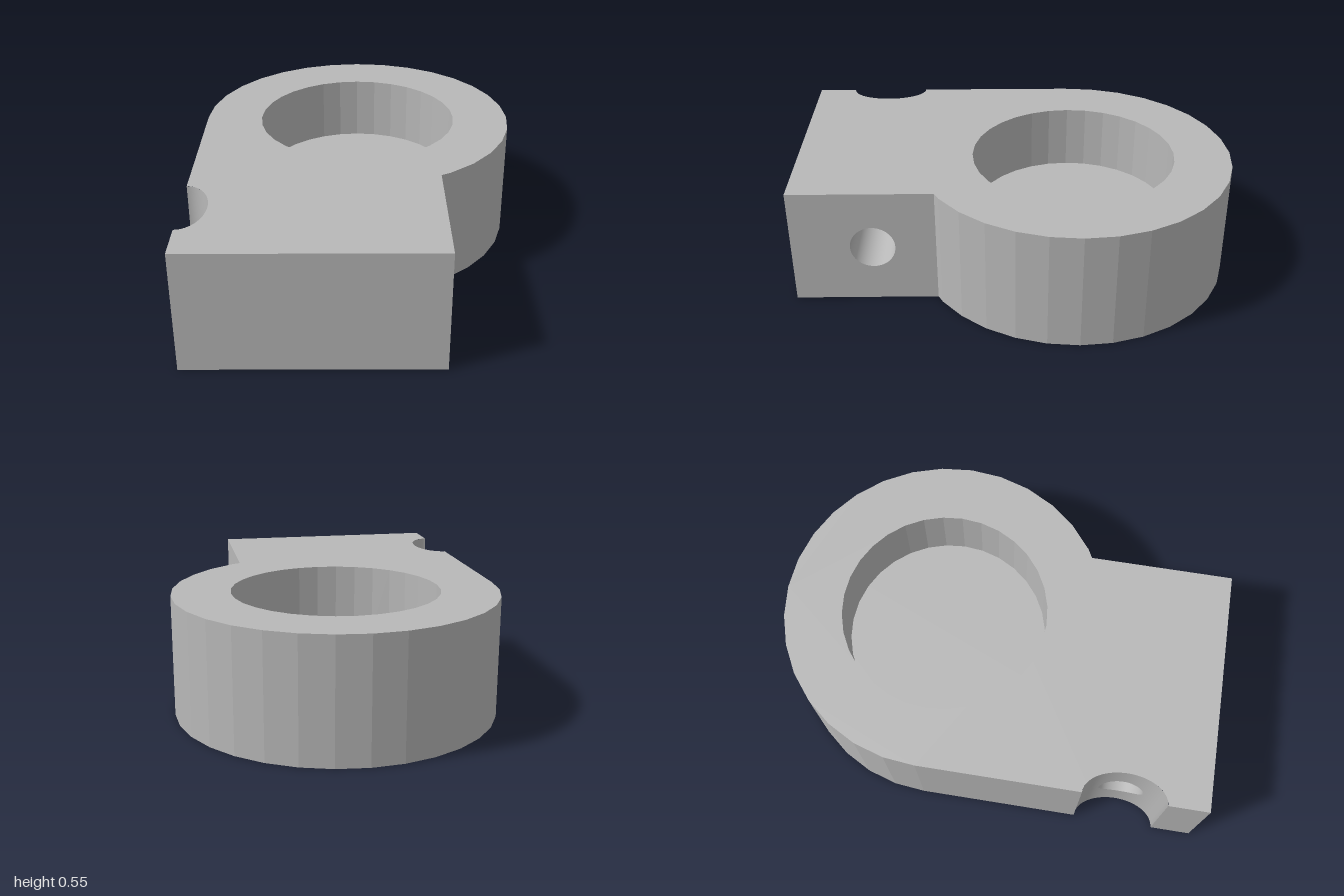
import * as THREE from 'three';
import { ParametricGeometry } from 'three/addons/geometries/ParametricGeometry.js';

const H = 0.545;              // thickness
const R = 0.727, CZ = -0.273; // round head
const BORE = 0.466, FLOOR = 0.243;
const ARM = 0.363;            // +x face of the arm
const NZ = 0.636, NA = 0.112, NB = 0.184; // side notch: centre, depth, half width
const HOLE = 0.101, HY = H / 2;
const STEP = Math.PI / 16;

const onCircle = (r, a) => [r * Math.sin(a), CZ - r * Math.cos(a)];
const notchX = (t) => -R + NA * Math.cos(t);
const toShape = (pts, s) => new THREE.Shape(pts.map(([x, z]) => new THREE.Vector2(x, s * z)));

// Horizontal faces from plan points [x, z]
function topFace(pts, y, hole) {
  const shape = toShape(pts, -1);
  if (hole) shape.holes.push(toShape(hole, -1));
  return new THREE.ShapeGeometry(shape).rotateX(-Math.PI / 2).translate(0, y, 0);
}
const bottomFace = (pts) => new THREE.ShapeGeometry(toShape(pts, 1)).rotateX(Math.PI / 2);

// Flat vertical facets along a plan path, facing left of travel
function wall(pts, y0, y1) {
  const pos = [];
  for (let i = 0; i + 1 < pts.length; i++) {
    const [a, b] = pts[i], [c, d] = pts[i + 1];
    pos.push(a, y0, b, a, y1, b, c, y0, d, c, y0, d, a, y1, b, c, y1, d);
  }
  const g = new THREE.BufferGeometry();
  g.setAttribute('position', new THREE.Float32BufferAttribute(pos, 3));
  g.computeVertexNormals();
  return g;
}

export function createModel() {
  const group = new THREE.Group();
  const metal = new THREE.MeshStandardMaterial({ color: 0xb8b8b8 });
  metal.name = 'grey metal';
  const add = (name, geometry) => {
    const mesh = new THREE.Mesh(geometry, metal);
    mesh.name = name;
    group.add(mesh);
  };

  // Plan outline: head arc, arm, notch
  const head = [[-R, NZ - NB]];
  for (let i = -8; i <= 13; i++) head.push(onCircle(R, i * STEP));
  head.push([ARM, 0.353]);
  const armEnd = [[ARM, 1], [-R, 1], [-R, NZ + NB]];
  const notch = [];
  for (let i = 1; i < 32; i++) {
    const t = Math.PI * (0.5 - i / 32);
    notch.push([notchX(t), NZ + NB * Math.sin(t)]);
  }
  const outline = [...head, ...armEnd, ...notch];
  const bore = [];
  for (let i = 0; i < 32; i++) bore.push(onCircle(BORE, -i * STEP));

  add('topFace', topFace(outline, H, bore));
  add('bottomFace', bottomFace(outline));
  add('headWall', wall(head, 0, H));
  add('armEndWall', wall(armEnd, 0, H));
  add('pocketWall', wall([...bore, bore[0]], FLOOR, H));
  add('pocketFloor', topFace(bore, FLOOR));

  // Arm cheek pierced by the cross hole
  const cheek = toShape([[-1, 0], [-0.353, 0], [-0.353, H], [-1, H]], 1);
  const circle = new THREE.Path();
  circle.absarc(-NZ, HY, HOLE, 0, Math.PI * 2);
  cheek.holes.push(circle);
  add('armCheek', new THREE.ShapeGeometry(cheek, 48).rotateY(Math.PI / 2).translate(ARM, 0, 0));

  // Curved notch wall, blended from its rectangular border to the hole
  add('notchWall', new ParametricGeometry((u, v, p) => {
    const c = Math.cos(u * Math.PI * 2), s = Math.sin(u * Math.PI * 2);
    const m = Math.max(Math.abs(c), Math.abs(s));
    const t = THREE.MathUtils.lerp(Math.PI / 2 * c / m, Math.asin(HOLE * c / NB), v);
    const y = THREE.MathUtils.lerp(HY + HY * s / m, HY + HOLE * s, v);
    p.set(notchX(t), y, NZ + NB * Math.sin(t));
  }, 96, 10));

  // Cross hole from notch to cheek
  add('crossHole', new ParametricGeometry((u, v, p) => {
    const c = Math.cos(u * Math.PI * 2), s = Math.sin(u * Math.PI * 2);
    const x0 = notchX(Math.asin(HOLE * c / NB));
    p.set(THREE.MathUtils.lerp(x0, ARM, v), HY + HOLE * s, NZ + HOLE * c);
  }, 96, 1));

  return group;
}
